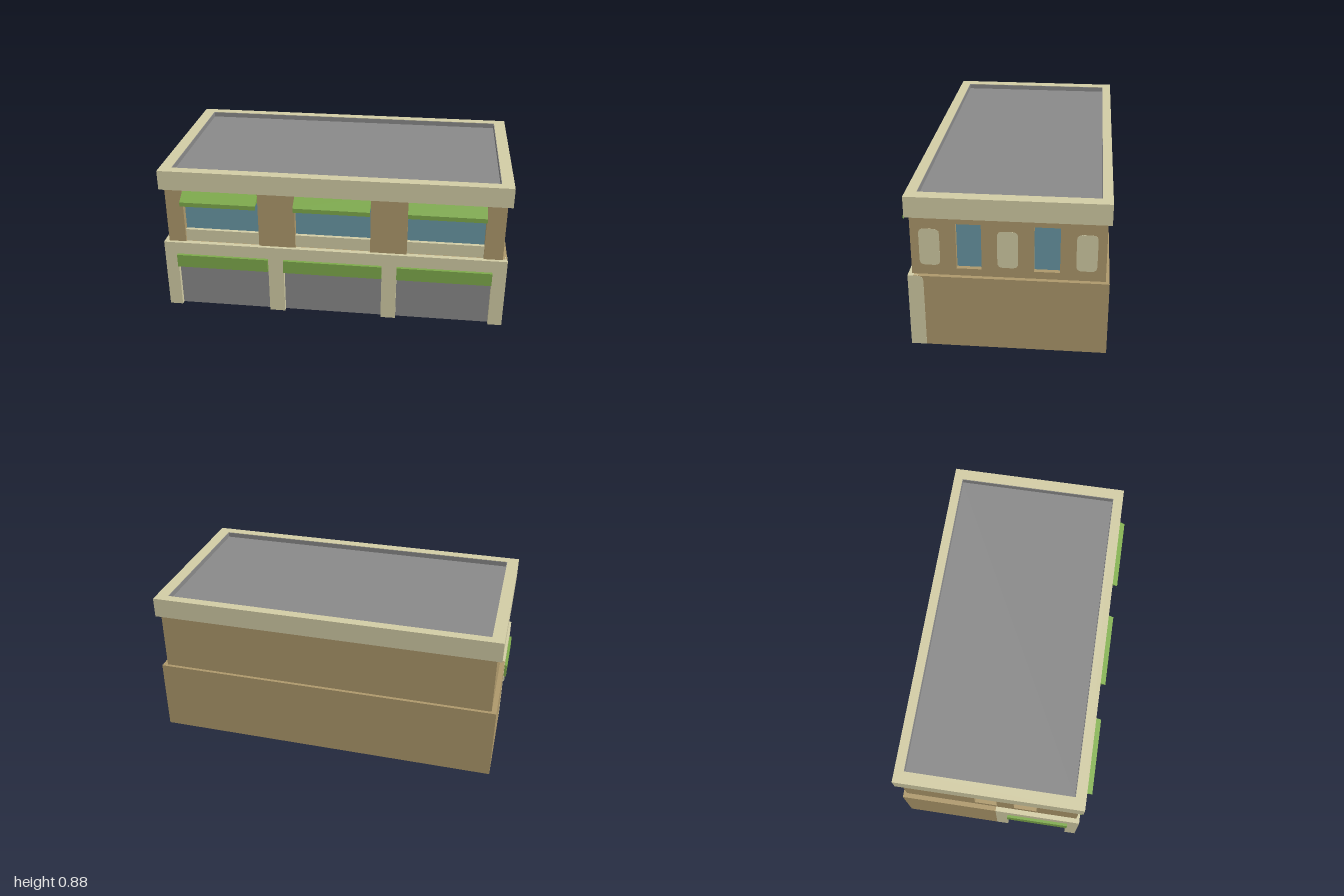
import * as THREE from 'three';

const mat = (name, color, extra = {}) => {
  const m = new THREE.MeshStandardMaterial({ color, ...extra });
  m.name = name;
  return m;
};

export function createModel() {
  const stone = mat('pale stone', 0xd2cca5);
  const wall = mat('tan wall', 0xad986b);
  const glass = mat('blue glass', 0x6997a4);
  const grey = mat('grey', 0x898989);
  const green = mat('awning green', 0x7da94b, { side: THREE.DoubleSide });

  const model = new THREE.Group();
  model.name = 'shopBuilding';

  const add = (name, geometry, material) => {
    const mesh = new THREE.Mesh(geometry, material);
    mesh.name = name;
    model.add(mesh);
    return mesh;
  };
  // box given by its limits
  const box = (name, material, [x0, x1], [y0, y1], [z0, z1]) =>
    add(name, new THREE.BoxGeometry(x1 - x0, y1 - y0, z1 - z0), material)
      .position.set((x0 + x1) / 2, (y0 + y1) / 2, (z0 + z1) / 2);
  const poly = (pts, Type = THREE.Shape) => new Type(pts.map(p => new THREE.Vector2(...p)));
  const rect = (a0, a1, b0, b1, Type) => poly([[a0, b0], [a1, b0], [a1, b1], [a0, b1]], Type);
  const extrude = (shape, depth) =>
    new THREE.ExtrudeGeometry(shape, { depth, bevelEnabled: false, curveSegments: 4 });
  // flat horizontal ring, its underside at y
  const ring = (name, material, [x0, x1], [z0, z1], [ix0, ix1], [iz0, iz1], y, height) => {
    const shape = rect(x0, x1, -z1, -z0);
    shape.holes.push(rect(ix0, ix1, -iz1, -iz0, THREE.Path));
    const mesh = add(name, extrude(shape, height), material);
    mesh.rotation.x = -Math.PI / 2;
    mesh.position.y = y;
  };
  // wall face with openings that reach the ground
  const arcade = (a0, a1, top, openings, head) => {
    const pts = [[a0, top], [a0, 0]];
    for (const [p, q] of openings) pts.push([p, 0], [p, head], [q, head], [q, 0]);
    pts.push([a1, 0], [a1, top]);
    return poly(pts);
  };

  const X = [-0.985, 1], Z = [-0.545, 0.505];       // ground floor and parapet
  const UX = [-0.958, 0.973], UZ = [-0.525, 0.485]; // upper floor
  const FLOOR = 0.424, EAVE = 0.761, TOP = 0.876, HEAD = 0.35;
  const THIN = 0.006, REVEAL = 0.03, FRONT = 0.475;

  // thin ground floor walls and the ledge above them
  box('lowerBackWall', wall, X, [0, FLOOR], [Z[0], Z[0] + THIN]);
  box('lowerLeftWall', wall, [X[1] - THIN - 0.001, X[1] - 0.001], [0, FLOOR], [Z[0] + THIN, FRONT]);
  box('lowerRightWall', wall, [X[0], X[0] + THIN], [0, FLOOR], [Z[0] + THIN, 0.01]);
  ring('ledge', wall, [X[0] + 0.002, X[1] - 0.002], [Z[0] + 0.002, FRONT + 0.002],
    [UX[0] + REVEAL, UX[1] - REVEAL], [UZ[0] + THIN, 0.44], FLOOR - 0.006, 0.005);

  // stone shopfront, with roller panels and flat awnings
  const bays = [[-0.909, -0.369], [-0.278, 0.294], [0.38, 0.92]];
  add('shopfront', extrude(arcade(X[0], X[1], FLOOR, bays, HEAD), Z[1] - FRONT), stone).position.z = FRONT;
  for (const bay of bays) {
    box('shopPanel', grey, bay, [0, HEAD], [FRONT, FRONT + 0.004]);
    box('lowerAwning', green, bay, [0.272, HEAD], [0.49, 0.523]);
  }

  // corner stone wrapping onto the left side, rounded at its upper back
  const corner = new THREE.Shape();
  corner.moveTo(-0.5, 0).lineTo(-0.422, 0).lineTo(-0.422, FLOOR - 0.03);
  corner.quadraticCurveTo(-0.422, FLOOR, -0.452, FLOOR).lineTo(-0.5, FLOOR);
  const cornerStone = add('cornerStone', extrude(corner, 0.012), stone);
  cornerStone.rotation.y = Math.PI / 2;
  cornerStone.position.x = X[1] - 0.012;

  // side entrance
  const door = [0.08, 0.44], sideDepth = Z[1] - FRONT;
  const sideFront = add('sideShopfront', extrude(arcade(0.01, 0.5, FLOOR, [door], HEAD), sideDepth), stone);
  sideFront.rotation.y = -Math.PI / 2;
  sideFront.position.x = X[0] + sideDepth;
  box('sidePanel', grey, [X[0] + sideDepth - 0.004, X[0] + sideDepth], [0, HEAD], door);
  box('sideAwning', green, [-1, -0.972], [0.272, HEAD], door);

  // upper back and side walls, with recessed windows
  box('upperBackWall', wall, UX, [FLOOR - 0.004, EAVE], [UZ[0], UZ[0] + THIN]);
  const sideWindows = { 1: [[0.117, 0.248], [-0.289, -0.155]], [-1]: [[0.115, 0.248], [-0.115, 0.015]] };
  for (const s of [1, -1]) {
    const outer = s > 0 ? UX[1] : UX[0];
    const inner = outer - s * REVEAL;
    const ends = [-s * UZ[0], -s * UZ[1]].sort((a, b) => a - b);
    const face = rect(ends[0], ends[1], FLOOR - 0.004, EAVE);
    for (const [a, b] of sideWindows[s]) {
      const [u0, u1] = s > 0 ? [-b, -a] : [a, b];
      face.holes.push(rect(u0, u1, 0.464, 0.721, THREE.Path));
      box('sideWindow', glass, [inner - 0.003, inner + 0.003], [0.464, 0.721], [a, b]);
    }
    const side = add('upperSideWall', extrude(face, REVEAL), wall);
    side.rotation.y = s * Math.PI / 2;
    side.position.x = inner;
  }

  // round-cornered stone plaques between the left side windows
  for (const z of [0.387, -0.019, -0.425]) {
    const w = 0.054, h = 0.105, r = 0.03;
    const s = new THREE.Shape();
    s.moveTo(-w + r, -h).lineTo(w - r, -h).quadraticCurveTo(w, -h, w, -h + r);
    s.lineTo(w, h - r).quadraticCurveTo(w, h, w - r, h);
    s.lineTo(-w + r, h).quadraticCurveTo(-w, h, -w, h - r);
    s.lineTo(-w, -h + r).quadraticCurveTo(-w, -h, -w + r, -h);
    const plaque = add('wallPlaque', extrude(s, 0.004), stone);
    plaque.rotation.y = Math.PI / 2;
    plaque.position.set(UX[1] - 0.003, 0.584, z);
  }

  // upper front piers
  for (const pier of [[UX[0], -0.857], [-0.421, -0.209], [0.224, 0.433], [0.866, UX[1]]])
    box('frontPier', wall, pier, [FLOOR - 0.004, EAVE], [0.44, UZ[1]]);

  // upper front windows, sills and sloped awnings
  for (const [a, b] of [[-0.857, -0.421], [-0.209, 0.224], [0.433, 0.866]]) {
    box('frontWindow', glass, [a, b], [0.44, EAVE], [0.442, 0.448]);
    box('windowSill', stone, [a, b], [FLOOR - 0.004, 0.497], [0.447, 0.47]);
    const wedge = poly([[-0.543, 0.705], [-0.448, 0.705], [-0.448, EAVE]]);
    const awning = add('upperAwning', extrude(wedge, b - a), green);
    awning.rotation.y = Math.PI / 2;
    awning.position.x = a;
    add('awningValance', new THREE.PlaneGeometry(b - a, 0.025), green)
      .position.set((a + b) / 2, 0.6925, 0.543);
  }

  // parapet ring around a sunken flat roof
  const IX = [-0.917, 0.932], IZ = [-0.492, 0.447];
  ring('parapet', stone, X, Z, IX, IZ, EAVE, TOP - EAVE);
  box('roof', grey, IX, [EAVE + 0.002, 0.845], IZ);
  // grey lining on the inside of the parapet
  const e = 0.003, lining = [0.845, TOP - 0.002];
  for (const x of [IX[0], IX[1] - e]) box('parapetLining', grey, [x, x + e], lining, IZ);
  for (const z of [IZ[0], IZ[1] - e]) box('parapetLining', grey, IX, lining, [z, z + e]);

  return model;
}
